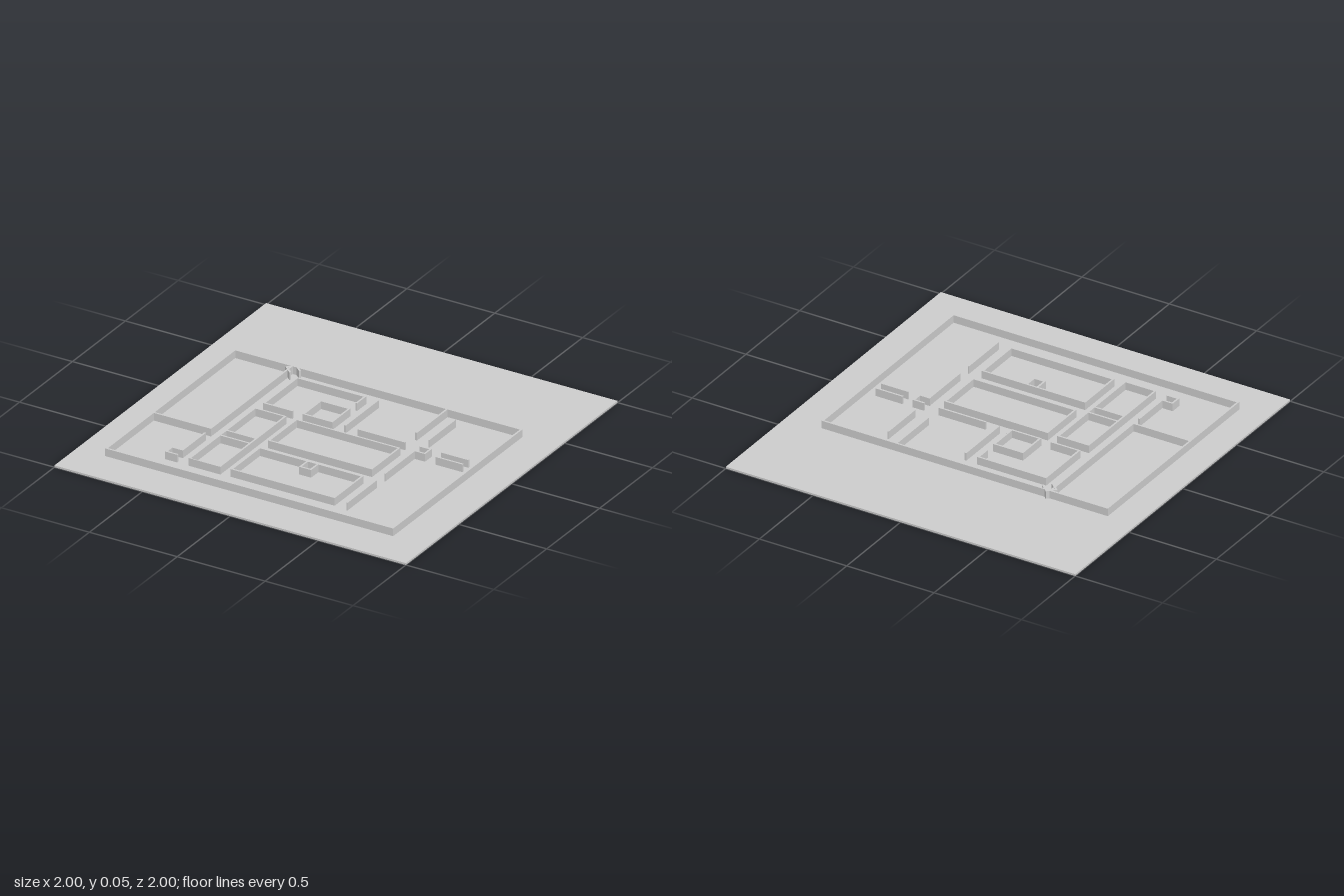
import * as THREE from 'three';

const BASE = 0.01, TOP = 0.052, THICK = 0.01, THIN = 0.005;

export function createModel() {
  const model = new THREE.Group();
  const material = new THREE.MeshStandardMaterial({ color: 0xcccccc, flatShading: true });

  function add(geometry, name, parent = model) {
    const mesh = new THREE.Mesh(geometry, material);
    mesh.name = name;
    parent.add(mesh);
    return mesh;
  }

  // Upright walls following a path of [x, z] points
  function walls(name, points, thick = THICK) {
    const group = new THREE.Group();
    group.name = name;
    for (let i = 0; i + 1 < points.length; i++) {
      const [x0, z0] = points[i], [x1, z1] = points[i + 1];
      const length = Math.hypot(x1 - x0, z1 - z0) + thick;
      const wall = add(new THREE.BoxGeometry(length, TOP - BASE / 2, thick), 'wall', group);
      wall.position.set((x0 + x1) / 2, (TOP + BASE / 2) / 2, (z0 + z1) / 2);
      wall.rotation.y = -Math.atan2(z1 - z0, x1 - x0);
      wall.scale.y = (TOP - BASE / 2) / (TOP - BASE / 2);
    }
    model.add(group);
  }

  // Closed rectangular room
  const room = (name, x0, x1, z0, z1) =>
    walls(name, [[x0, z0], [x1, z0], [x1, z1], [x0, z1], [x0, z0]]);

  // Ground slab and the small marker at its centre
  add(new THREE.BoxGeometry(2, BASE, 2), 'ground').position.y = BASE / 2;
  add(new THREE.CylinderGeometry(0.01, 0.01, 0.004, 16), 'centreMarker').position.y = BASE + 0.001;

  // Outer enclosure and west yard
  room('outerWall', -0.834, 0.795, -0.43, 0.783);
  walls('westYardWall', [[-0.508, -0.43], [-0.508, 0.34], [-0.834, 0.34]]);

  // Angled entrance in the back wall
  walls('angledEntrance', [[-0.485, -0.37], [-0.526, -0.406], [-0.492, -0.442], [-0.45, -0.405]]);

  // Back rooms
  walls('backRoom', [[-0.037, -0.258], [-0.037, -0.334], [-0.422, -0.334], [-0.422, -0.024], [-0.265, -0.024]]);
  room('smallRoom', -0.198, -0.037, -0.185, -0.024);
  walls('backPartition', [[0.037, -0.33], [0.037, -0.028]]);
  walls('corridorWall', [[0.117, -0.024], [0.375, -0.024]]);
  walls('backDivider', [[0.374, -0.43], [0.374, -0.141]]);

  // Middle and front halls
  room('middleHall', -0.198, 0.385, 0.045, 0.302);
  room('frontHall', -0.198, 0.385, 0.393, 0.655);
  walls('hallAlcove', [[0.075, 0.393], [0.075, 0.461], [0.134, 0.461], [0.134, 0.393]]);

  // Long side rooms with two cross walls
  walls('sideRooms', [[-0.433, 0.66], [-0.433, 0.045], [-0.262, 0.045], [-0.262, 0.66]]);
  walls('sideRoomsFront', [[-0.433, 0.663], [-0.262, 0.663]], THIN);
  for (const z of [0.318, 0.377]) walls('sideRoomsCrossWall', [[-0.433, z], [-0.262, z]]);

  // Front-right porch nook
  walls('westPassageWall', [[-0.508, 0.397], [-0.508, 0.607], [-0.567, 0.607], [-0.567, 0.66], [-0.508, 0.66]]);

  // East passage: thin screens, a nook and a pair of short walls
  for (const [z0, z1] of [[-0.354, -0.106], [0.035, 0.311], [0.395, 0.668]])
    walls('eastScreen', [[0.467, z0], [0.467, z1]], THIN);
  walls('eastNook', [[0.468, -0.024], [0.523, -0.024], [0.523, 0.03], [0.468, 0.03]]);
  for (const z of [-0.024, 0.03]) walls('eastShortWall', [[0.592, z], [0.736, z]]);

  return model;
}
